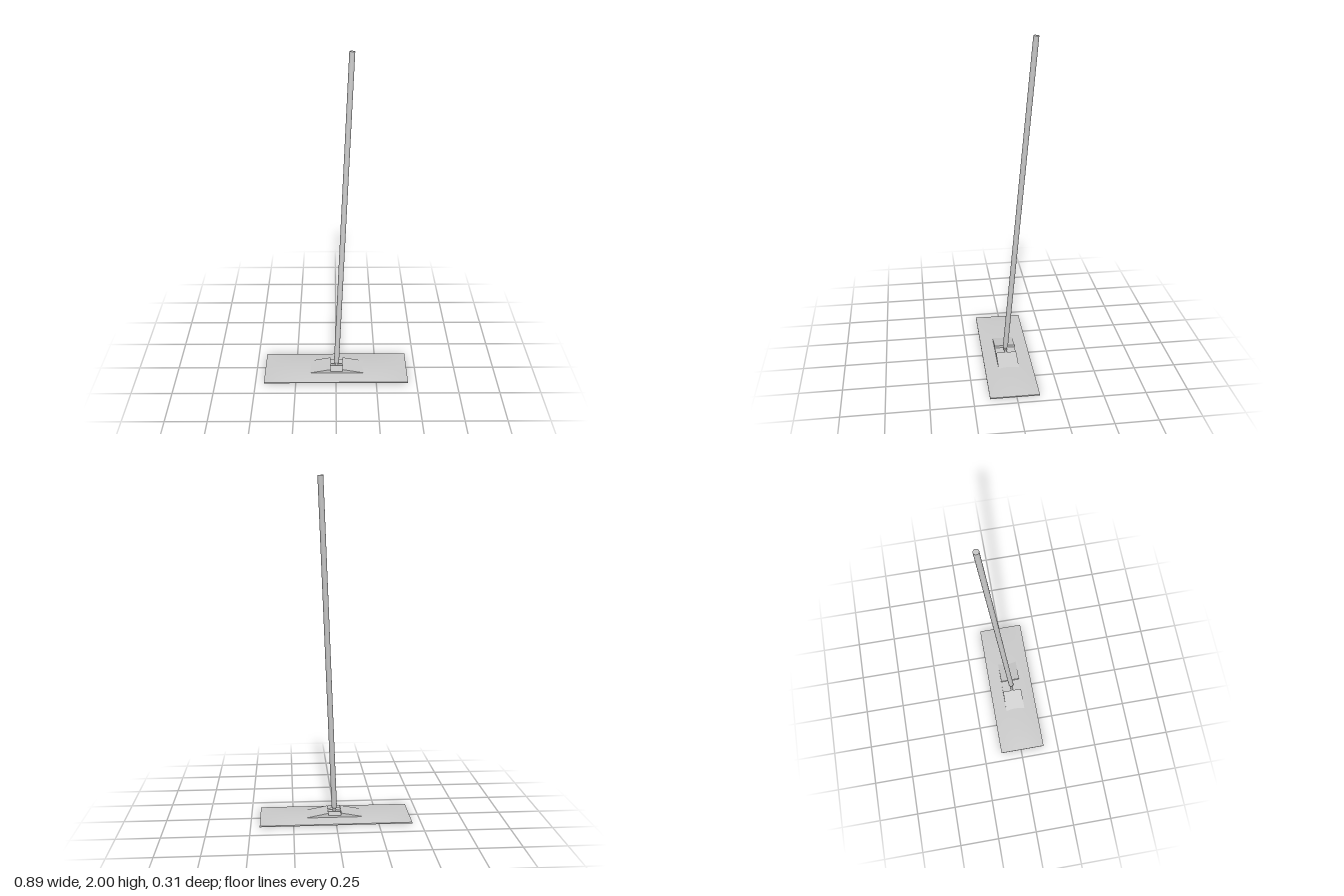
import * as THREE from 'three';

const material = new THREE.MeshStandardMaterial({ color: 0xcccccc, side: THREE.DoubleSide });

function add(group, name, geometry, x = 0, y = 0, z = 0) {
  const mesh = new THREE.Mesh(geometry, material);
  mesh.name = name;
  mesh.position.set(x, y, z);
  group.add(mesh);
  return mesh;
}

// Outline in x and y, extruded along z and centred on it
function profile(points, depth) {
  const shape = new THREE.Shape(points.map(([x, y]) => new THREE.Vector2(x, y)));
  return new THREE.ExtrudeGeometry(shape, { depth, bevelEnabled: false }).translate(0, 0, -depth / 2);
}

// Rectangular plate with a flat underside and a gently crowned top
function crownedPlate(width, depth, edge, crown) {
  const geometry = new THREE.BoxGeometry(width, 1, depth, 24, 1, 12);
  const p = geometry.attributes.position;
  for (let i = 0; i < p.count; i++) {
    const u = Math.abs(p.getX(i)) / (width / 2);
    const v = Math.abs(p.getZ(i)) / (depth / 2);
    const rise = crown * (1 - u ** 4) * (1 - v ** 2);
    p.setY(i, p.getY(i) > 0 ? edge + rise : 0);
  }
  geometry.computeVertexNormals();
  return geometry;
}

export function createModel() {
  const model = new THREE.Group();
  model.name = 'flatMop';
  const midZ = 0.011;

  add(model, 'mopHead', crownedPlate(0.894, 0.29, 0.007, 0.01), 0, 0, 0.01);

  // Bracket: two sloping wings with a recessed saddle between them
  const bracket = new THREE.Group();
  bracket.name = 'bracket';
  bracket.position.set(0.004, 0, midZ);
  model.add(bracket);
  for (const s of [-1, 1]) {
    add(bracket, s > 0 ? 'leftWing' : 'rightWing',
      profile([[s * 0.038, 0.01], [s * 0.172, 0.01], [s * 0.172, 0.015], [s * 0.038, 0.041]], 0.125));
  }
  add(bracket, 'saddle', new THREE.BoxGeometry(0.076, 0.016, 0.125), 0, 0.018, 0);

  // Hinge pin across the recess, with the joint that carries the pole
  const pin = add(bracket, 'hingePin', new THREE.CylinderGeometry(0.007, 0.007, 0.076, 12), 0, 0.034, 0);
  pin.rotation.z = Math.PI / 2;
  add(bracket, 'hingeJoint', new THREE.SphereGeometry(0.012, 16, 10), 0, 0.04, 0);

  // Leaning pole, narrowing at its foot
  const foot = new THREE.Vector3(0.003, 0.042, 0.012);
  const tip = new THREE.Vector3(0.088, 1.9985, -0.143);
  const axis = tip.clone().sub(foot);
  const length = axis.length();
  const pole = new THREE.Group();
  pole.name = 'pole';
  pole.position.copy(foot);
  pole.quaternion.setFromUnitVectors(new THREE.Vector3(0, 1, 0), axis.normalize());
  model.add(pole);
  add(pole, 'poleFoot', new THREE.CylinderGeometry(0.016, 0.009, 0.018, 16), 0, 0.009, 0);
  add(pole, 'poleShaft', new THREE.CylinderGeometry(0.016, 0.016, length - 0.018, 16), 0, (length + 0.018) / 2, 0);

  return model;
}
